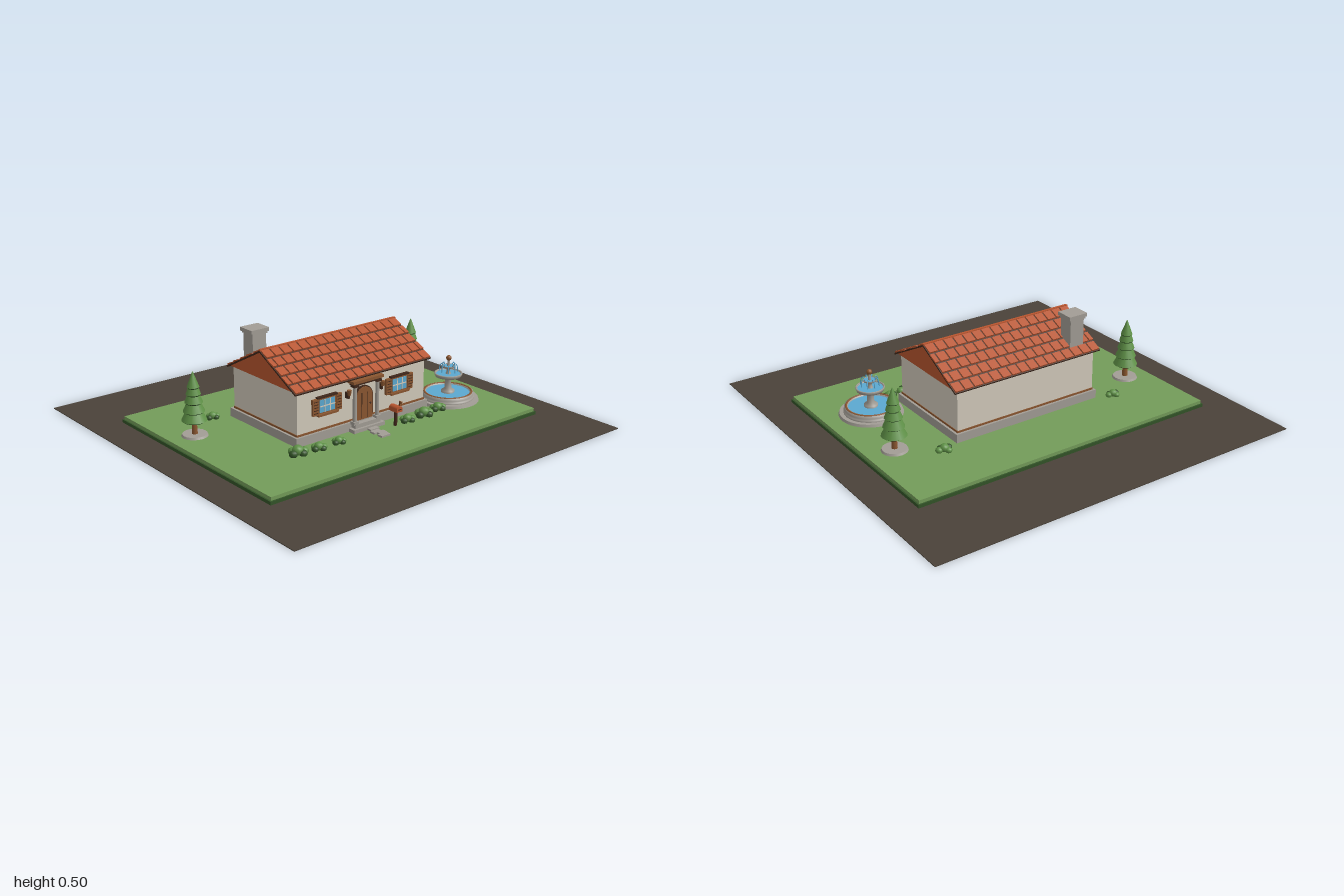
import * as THREE from 'three';

const mat = (name, color, side = THREE.FrontSide) => {
  const m = new THREE.MeshStandardMaterial({ color, side });
  m.name = name;
  return m;
};

export function createModel() {
  const earth = mat('earth', 0x4a4239), lawnGreen = mat('lawn green', 0x739b59);
  const darkGreen = mat('dark green', 0x335428), leaf = mat('leaf green', 0x5f9147);
  const plaster = mat('plaster', 0xd2cabb), stone = mat('stone', 0xa29d95, THREE.DoubleSide);
  const tile = mat('terracotta', 0xb8552f), wood = mat('wood', 0x8a5630);
  const water = mat('water', 0x5ba8d0), dark = mat('dark wood', 0x40271a);

  const model = new THREE.Group();
  const group = (name, x = 0, y = 0, z = 0, parent = model) => {
    const g = new THREE.Group();
    g.name = name;
    g.position.set(x, y, z);
    parent.add(g);
    return g;
  };
  const add = (name, geo, m, x, y, z, parent = model) => {
    const mesh = new THREE.Mesh(geo, m);
    mesh.name = name;
    mesh.position.set(x, y, z);
    parent.add(mesh);
    return mesh;
  };
  const box = (name, w, h, d, m, x, y, z, parent) =>
    add(name, new THREE.BoxGeometry(w, h, d), m, x, y, z, parent);
  const cyl = (name, r1, r2, h, m, x, y, z, parent, n = 16) =>
    add(name, new THREE.CylinderGeometry(r1, r2, h, n), m, x, y, z, parent);

  // Ground and lawn
  box('ground', 2, 0.004, 2, earth, 0, 0.002, 0);
  box('lawnEdge', 1.66, 0.016, 1.22, darkGreen, 0, 0.012, 0.01);
  box('lawn', 1.645, 0.02, 1.205, lawnGreen, 0, 0.027, 0.01);

  // House body
  const house = group('house');
  box('foundation', 0.83, 0.046, 0.53, stone, 0, 0.058, 0, house);
  box('walls', 0.8, 0.235, 0.5, plaster, 0, 0.1925, 0, house);
  box('baseTrim', 0.806, 0.01, 0.506, wood, 0, 0.086, 0, house);

  // Gabled roof: solid core, dark underlay and staggered tiles
  const roof = group('roof', 0, 0, 0, house);
  const gable = new THREE.Shape([[-0.265, 0.303], [0.265, 0.303], [0, 0.44]].map(p => new THREE.Vector2(...p)));
  const core = new THREE.ExtrudeGeometry(gable, { depth: 0.834, bevelEnabled: false });
  core.rotateY(Math.PI / 2);
  add('gables', core, tile, -0.417, 0, 0, roof);
  const pitch = Math.atan2(0.145, 0.275), slope = 0.308, rows = 5, cols = 16, W = 0.85;
  for (const s of [1, -1]) {
    const side = group(s > 0 ? 'frontSlope' : 'backSlope', 0, 0.443, 0, roof);
    side.rotation.x = s * pitch;
    box('underlay', W, 0.008, slope, dark, 0, -0.003, s * slope / 2, side);
    const step = slope / rows, w = W / cols;
    for (let r = 0; r < rows; r++) {
      const shift = r % 2 ? w / 2 : 0;
      for (let c = r % 2 ? -1 : 0; c < cols; c++) {
        const a = Math.max(-W / 2, -W / 2 + c * w + shift + 0.004);
        const b = Math.min(W / 2, -W / 2 + (c + 1) * w + shift - 0.004);
        const t = box('roofTile', b - a, 0.009, step - 0.009, tile, (a + b) / 2, 0.003, s * (r + 0.5) * step, side);
        t.rotation.x = -s * 0.06;
      }
    }
  }
  box('ridge', W, 0.008, 0.014, tile, 0, 0.446, 0, roof);

  // Chimney
  const chimney = group('chimney', -0.316, 0, -0.185, house);
  box('shaft', 0.08, 0.18, 0.076, stone, 0, 0.39, 0, chimney);
  box('collar', 0.09, 0.01, 0.086, stone, 0, 0.472, 0, chimney);
  box('cap', 0.105, 0.018, 0.094, stone, 0, 0.486, 0, chimney);

  // Shuttered windows
  for (const x of [-0.23, 0.225]) {
    const win = group('window', x, 0.206, 0.25, house);
    box('frame', 0.106, 0.082, 0.014, wood, 0, 0, 0.004, win);
    box('glass', 0.09, 0.062, 0.004, water, 0, 0, 0.012, win);
    for (const dx of [-0.016, 0.016]) box('mullion', 0.005, 0.062, 0.006, plaster, dx, 0, 0.013, win);
    box('transom', 0.09, 0.005, 0.006, plaster, 0, 0, 0.013, win);
    box('sill', 0.12, 0.01, 0.026, wood, 0, -0.042, 0.01, win);
    box('lintel', 0.12, 0.008, 0.02, dark, 0, 0.044, 0.008, win);
    for (const s of [-1, 1]) {
      box('shutter', 0.034, 0.08, 0.014, wood, s * 0.07, 0, 0.008, win);
      for (let i = -2; i <= 2; i++) box('slat', 0.024, 0.003, 0.004, dark, s * 0.07, i * 0.014, 0.015, win);
    }
  }

  // Arched door with porch surround
  const entry = group('entrance', -0.003, 0, 0.25, house);
  const arch = (r, h) => {
    const s = new THREE.Shape();
    s.moveTo(-r, 0);
    s.lineTo(r, 0);
    s.lineTo(r, h);
    s.absarc(0, h, r, 0, Math.PI, false);
    s.lineTo(-r, 0);
    return new THREE.ExtrudeGeometry(s, { depth: 0.01, bevelEnabled: false, curveSegments: 10 });
  };
  add('doorFrame', arch(0.058, 0.11), dark, 0, 0.08, 0, entry);
  add('door', arch(0.051, 0.112), wood, 0, 0.08, 0.005, entry);
  for (const x of [-0.017, 0.017]) box('plankLine', 0.003, 0.13, 0.003, dark, x, 0.15, 0.015, entry);
  add('doorKnob', new THREE.SphereGeometry(0.005, 8, 6), dark, 0.036, 0.155, 0.018, entry);
  for (const s of [-1, 1]) {
    cyl('column', 0.009, 0.011, 0.2, stone, s * 0.071, 0.175, 0.026, entry, 12);
    box('columnBase', 0.03, 0.016, 0.03, stone, s * 0.071, 0.08, 0.026, entry);
    box('columnHead', 0.03, 0.012, 0.03, dark, s * 0.071, 0.267, 0.026, entry);
    const lamp = group('wallLamp', s * 0.105, 0.232, 0.012, entry);
    box('bracket', 0.01, 0.03, 0.024, dark, 0, -0.008, 0, lamp);
    cyl('lantern', 0.012, 0.008, 0.026, wood, 0, 0.008, 0.014, lamp, 6);
  }
  box('porchBeam', 0.17, 0.012, 0.036, dark, 0, 0.275, 0.02, entry);
  box('porchCap', 0.19, 0.014, 0.048, wood, 0, 0.287, 0.022, entry);
  box('upperStep', 0.16, 0.03, 0.04, stone, 0, 0.06, 0.022, entry);
  box('lowerStep', 0.195, 0.018, 0.05, stone, 0, 0.046, 0.03, entry);

  // Stepping stones
  [[0.01, 0.315, 0.055], [-0.006, 0.355, 0.05], [0.008, 0.38, 0.045], [-0.003, 0.408, 0.055]].forEach(
    ([x, z, w]) => box('steppingStone', w, 0.01, 0.032, stone, x, 0.041, z));

  // Conifers with tiered foliage on round stone beds
  for (const [x, z] of [[-0.69, -0.165], [0.682, -0.15]]) {
    const tree = group('conifer', x, 0, z);
    cyl('bed', 0.06, 0.065, 0.01, stone, 0, 0.042, 0, tree, 20);
    cyl('trunk', 0.011, 0.015, 0.08, wood, 0, 0.08, 0, tree, 10);
    [[0.115, 0.062, 0.034], [0.16, 0.053, 0.028], [0.205, 0.044, 0.022], [0.245, 0.036, 0.018], [0.28, 0.03, 0.002]]
      .forEach(([y, r, top], i) => {
        const h = i === 4 ? 0.075 : 0.055;
        cyl('foliage', top, r, h, leaf, 0, y + h / 2, 0, tree, 16);
        cyl('foliageShade', r, r * 0.85, 0.006, darkGreen, 0, y - 0.003, 0, tree, 16);
      });
  }

  // Bushes made of leafy clumps
  const clumps = [[0, 0.018, 0, 0.026], [-0.03, 0.01, 0.008, 0.019], [0.03, 0.01, 0.004, 0.02],
    [0.012, 0.008, 0.022, 0.018], [-0.012, 0.01, -0.022, 0.019]];
  const bushes = [[-0.455, 0.325, 1.1], [-0.345, 0.34, 0.88], [-0.225, 0.34, 0.8], [0.21, 0.34, 0.9],
    [0.325, 0.335, 1.1], [0.435, 0.32, 0.95], [-0.5, -0.297, 0.8], [0.5, -0.29, 0.9]];
  bushes.forEach(([x, z, s], n) => {
    const bush = group('bush', x, 0.037, z);
    bush.scale.setScalar(s);
    clumps.forEach(([cx, cy, cz, r], i) => {
      const clump = add('clump', new THREE.SphereGeometry(r, 10, 7), i % 2 ? darkGreen : leaf, cx, cy, cz, bush);
      clump.scale.y = 0.9;
      clump.rotation.y = n + i;
    });
  });

  // Tiered fountain
  const fountain = group('fountain', 0.586, 0, 0.238);
  const lathe = (name, pts, m) => add(name,
    new THREE.LatheGeometry(pts.map(p => new THREE.Vector2(...p)), 32), m, 0, 0, 0, fountain);
  cyl('plinth', 0.155, 0.16, 0.014, stone, 0, 0.043, 0, fountain, 32);
  lathe('basin', [[0.135, 0.05], [0.135, 0.06], [0.125, 0.064], [0.13, 0.08], [0.112, 0.08], [0.112, 0.06]], stone);
  const ring = (name, r, t, m, y) => {
    add(name, new THREE.TorusGeometry(r, t, 6, 32), m, 0, y, 0, fountain).rotation.x = Math.PI / 2;
  };
  ring('basinRim', 0.121, 0.006, wood, 0.078);
  cyl('basinWater', 0.113, 0.113, 0.014, water, 0, 0.067, 0, fountain, 32);
  lathe('pedestal', [[0.034, 0.07], [0.034, 0.085], [0.018, 0.095], [0.015, 0.14], [0.03, 0.155], [0.066, 0.16],
    [0.072, 0.175], [0.064, 0.175], [0.06, 0.165]], stone);
  ring('bowlRim', 0.068, 0.004, stone, 0.175);
  cyl('bowlWater', 0.062, 0.062, 0.005, water, 0, 0.17, 0, fountain, 32);
  lathe('upperPedestal', [[0.016, 0.17], [0.009, 0.185], [0.009, 0.2], [0.03, 0.207], [0.034, 0.216], [0.029, 0.216],
    [0.027, 0.211]], stone);
  cyl('upperWater', 0.028, 0.028, 0.003, water, 0, 0.213, 0, fountain, 24);
  cyl('spire', 0.005, 0.008, 0.035, stone, 0, 0.23, 0, fountain, 10);
  add('finial', new THREE.SphereGeometry(0.014, 14, 10), wood, 0, 0.256, 0, fountain);
  for (let i = 0; i < 8; i++) {
    const a = i * Math.PI / 4, p = (r, y) => new THREE.Vector3(Math.cos(a) * r, y, Math.sin(a) * r);
    const jet = new THREE.CatmullRomCurve3([p(0.026, 0.214), p(0.034, 0.226), p(0.043, 0.215), p(0.047, 0.185)]);
    add('waterJet', new THREE.TubeGeometry(jet, 8, 0.0025, 5), water, 0, 0, 0, fountain);
  }

  // Mailbox
  const mailbox = group('mailbox', 0.127, 0, 0.345);
  box('post', 0.012, 0.08, 0.012, dark, 0, 0.075, 0, mailbox);
  box('body', 0.036, 0.018, 0.055, tile, 0, 0.122, 0, mailbox);
  const lid = new THREE.CylinderGeometry(0.018, 0.018, 0.055, 14, 1, false, 0, Math.PI * 2);
  lid.rotateX(Math.PI / 2);
  lid.scale(1, 0.7, 1);
  add('roundedTop', lid, tile, 0, 0.13, 0, mailbox);
  box('slot', 0.022, 0.004, 0.004, dark, 0, 0.126, 0.027, mailbox);
  box('flagArm', 0.004, 0.035, 0.004, dark, 0.02, 0.14, 0.005, mailbox);
  box('flag', 0.006, 0.012, 0.018, wood, 0.021, 0.153, 0.01, mailbox);
  return model;
}
